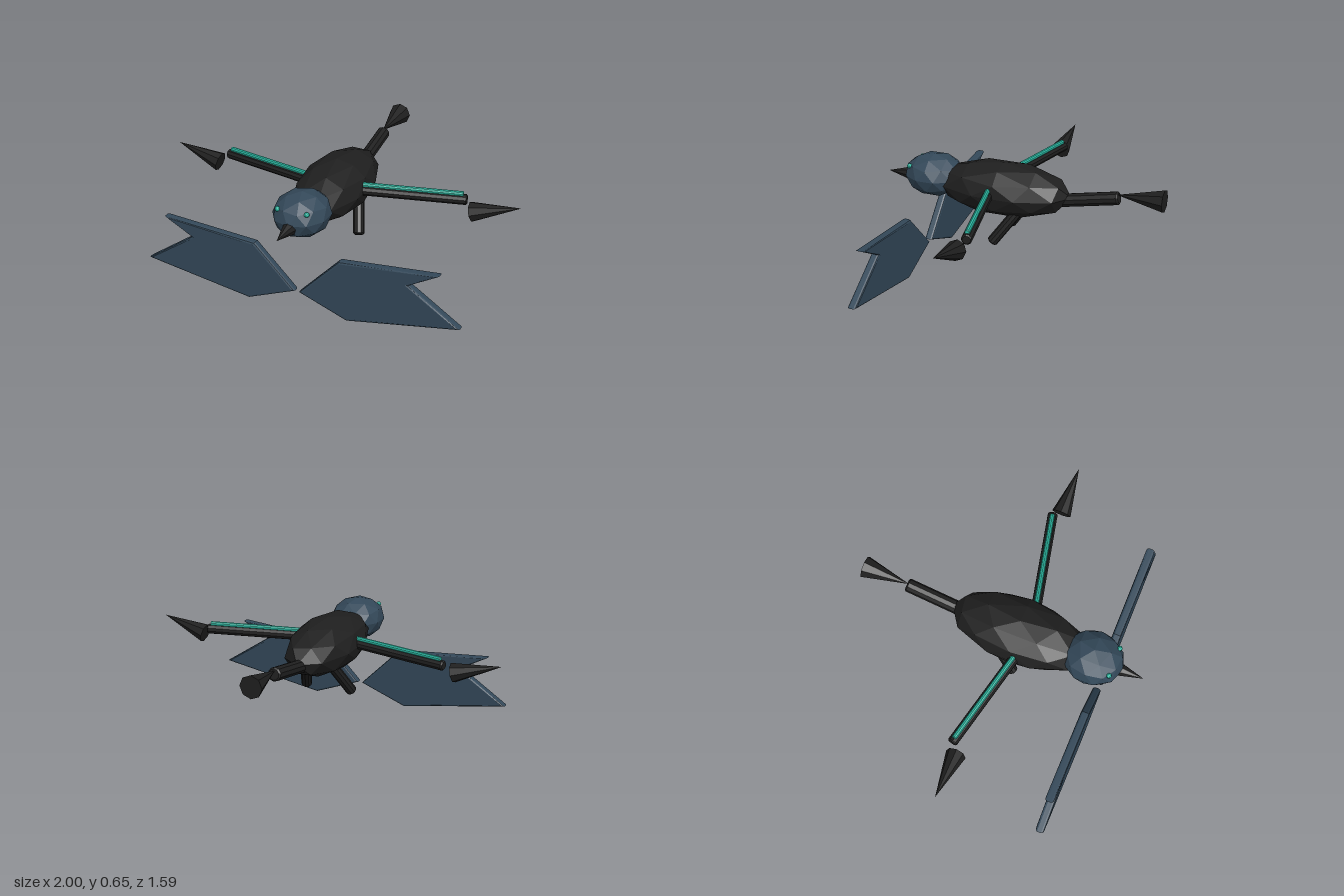
import * as THREE from 'three';

const mat = (name, color) => {
  const m = new THREE.MeshStandardMaterial({ color });
  m.name = name;
  return m;
};

// Split all faces so that each facet is shaded flat
function facet(geo) {
  const g = geo.index ? geo.toNonIndexed() : geo;
  g.computeVertexNormals();
  return g;
}

// Faceted ellipsoid with its pole pointing up
function ellipsoid(rx, ry, rz) {
  const g = new THREE.IcosahedronGeometry(1, 1);
  g.rotateZ(-Math.atan(2 / (1 + Math.sqrt(5))));
  g.scale(rx, ry, rz);
  return facet(g);
}

// Turn a geometry standing on the y axis so that it runs from a to b
function span(geo, a, b) {
  const dir = b.clone().sub(a).normalize();
  geo.applyQuaternion(new THREE.Quaternion().setFromUnitVectors(new THREE.Vector3(0, 1, 0), dir));
  const mid = a.clone().add(b).multiplyScalar(0.5);
  return facet(geo.translate(mid.x, mid.y, mid.z));
}

// Round bar with small chamfers at both ends
function rod(a, b, r, chamfer = r * 0.22) {
  const h = a.distanceTo(b) / 2;
  const profile = [[0, -h], [r - chamfer, -h], [r, chamfer - h], [r, h - chamfer], [r - chamfer, h], [0, h]];
  return span(new THREE.LatheGeometry(profile.map(p => new THREE.Vector2(...p)), 10), a, b);
}

// Cone from its base centre to its tip
function spike(base, tip, r) {
  return span(new THREE.ConeGeometry(r, base.distanceTo(tip), 8), base, tip);
}

export function createModel() {
  const model = new THREE.Group();
  model.name = 'birdModel';
  const black = mat('charcoal', 0x1f1f1f);
  const slate = mat('slateBlue', 0x334859);
  const teal = mat('teal', 0x2bbfa8);
  const v = (x, y, z) => new THREE.Vector3(x, y, z);

  const add = (name, geo, material, x = 0, y = 0, z = 0) => {
    const m = new THREE.Mesh(geo, material);
    m.name = name;
    m.position.set(x, y, z);
    model.add(m);
  };

  // Body, head and beak
  add('body', ellipsoid(0.185, 0.148, 0.39), black, 0, 0.508, 0.1);
  add('head', ellipsoid(0.15, 0.12, 0.17), slate, 0, 0.53, 0.512);
  add('beak', spike(v(0, 0.51, 0.645), v(0, 0.507, 0.797), 0.042), black);

  // Tail with a flared end
  add('tail', rod(v(0, 0.48, -0.2), v(0, 0.55, -0.553), 0.037), black);
  add('tailFan', spike(v(0, 0.57, -0.797), v(0, 0.567, -0.54), 0.062), black);

  // Paired parts
  for (const [side, s] of [['left', 1], ['right', -1]]) {
    add(side + 'Eye', ellipsoid(0.014, 0.014, 0.014), teal, s * 0.081, 0.587, 0.627);

    // Arm with a glowing strip along its top and a pointed tip
    add(side + 'Arm', rod(v(s * 0.1, 0.516, 0.142), v(s * 0.702, 0.516, 0.008), 0.028), black);
    add(side + 'ArmStrip', rod(v(s * 0.1, 0.547, 0.14), v(s * 0.682, 0.547, 0.012), 0.014), teal);
    add(side + 'ArmTip', spike(v(s * 0.741, 0.472, 0.045), v(s, 0.545, 0.045), 0.054), black);

    add(side + 'Leg', rod(v(s * 0.07, 0.45, -0.035), v(s * 0.138, 0.24, 0.117), 0.03), black);

    // Notched, chamfered wing plate
    const outline = [[0.012, 0.11], [0.28, 0.005], [0.885, 0.11], [0.612, 0.294], [0.77, 0.383], [0.238, 0.342]];
    const shape = new THREE.Shape(outline.map(([x, y]) => new THREE.Vector2(s * x, y)));
    const plate = new THREE.ExtrudeGeometry(shape, {
      depth: 0.023, bevelThickness: 0.012, bevelSize: 0.012, bevelOffset: -0.012, bevelSegments: 2,
    });
    add(side + 'WingPlate', facet(plate), slate, 0, 0, 0.563);
  }
  return model;
}
